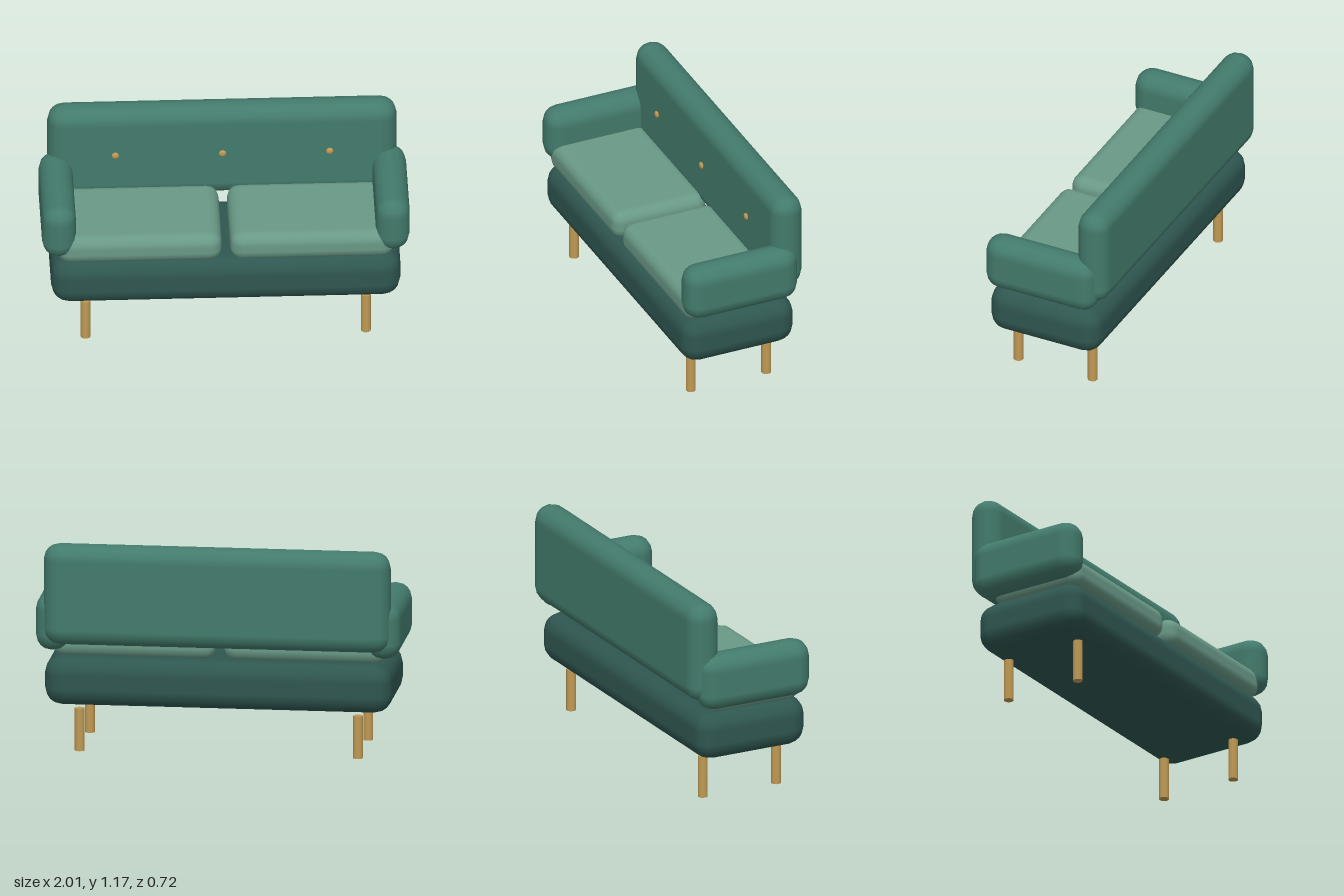
import * as THREE from 'three';
import { RoundedBoxGeometry } from 'three/addons/geometries/RoundedBoxGeometry.js';

const material = (color) => new THREE.MeshStandardMaterial({ color });

export function createModel() {
  const sofa = new THREE.Group();
  sofa.name = 'sofa';
  const green = material(0x437b6c);
  const darkGreen = material(0x2f5650);
  const paleGreen = material(0x699987);
  const brass = material(0xc09a54);

  function add(name, geometry, mat, x, y, z) {
    const mesh = new THREE.Mesh(geometry, mat);
    mesh.name = name;
    mesh.position.set(x, y, z);
    sofa.add(mesh);
    return mesh;
  }

  // Padded block between two corners; the two-step rounding falls short
  // of its nominal size, so the box is enlarged to reach the given bounds.
  function pad(name, [x0, x1], [y0, y1], [z0, z1], radius, mat) {
    const grow = 2 * radius * (1 - 0.5 / Math.sqrt(0.27));
    const geometry = new RoundedBoxGeometry(
      x1 - x0 + grow, y1 - y0 + grow, z1 - z0 + grow, 2, radius);
    add(name, geometry, mat, (x0 + x1) / 2, (y0 + y1) / 2, (z0 + z1) / 2);
  }

  // Base and backrest
  pad('base', [-0.95, 0.95], [0.262, 0.53], [-0.308, 0.355], 0.1, darkGreen);
  pad('backrest', [-0.95, 0.95], [0.61, 1.168], [-0.358, -0.18], 0.092, green);

  // Mirrored arms, seat cushions and legs
  const legGeometry = new THREE.CylinderGeometry(0.027, 0.027, 0.237, 16);
  for (const side of [-1, 1]) {
    const label = side > 0 ? 'left' : 'right';
    const span = (a, b) => (side > 0 ? [a, b] : [-b, -a]);
    pad(label + 'Arm', span(0.822, 1), [0.565, 0.878], [-0.308, 0.358], 0.092, green);
    pad(label + 'Cushion', span(0.025, 0.915), [0.52, 0.684], [-0.22, 0.338], 0.068, paleGreen);
    add(label + 'FrontLeg', legGeometry, brass, side * 0.765, 0.1185, 0.249);
    add(label + 'BackLeg', legGeometry, brass, side * 0.765, 0.1185, -0.203);
  }

  // Flattened buttons on the backrest
  const buttonGeometry = new THREE.SphereGeometry(0.02, 16, 12);
  for (const x of [-0.585, 0, 0.585]) {
    add('button', buttonGeometry, brass, x, 0.902, -0.164).scale.z = 0.5;
  }
  return sofa;
}
